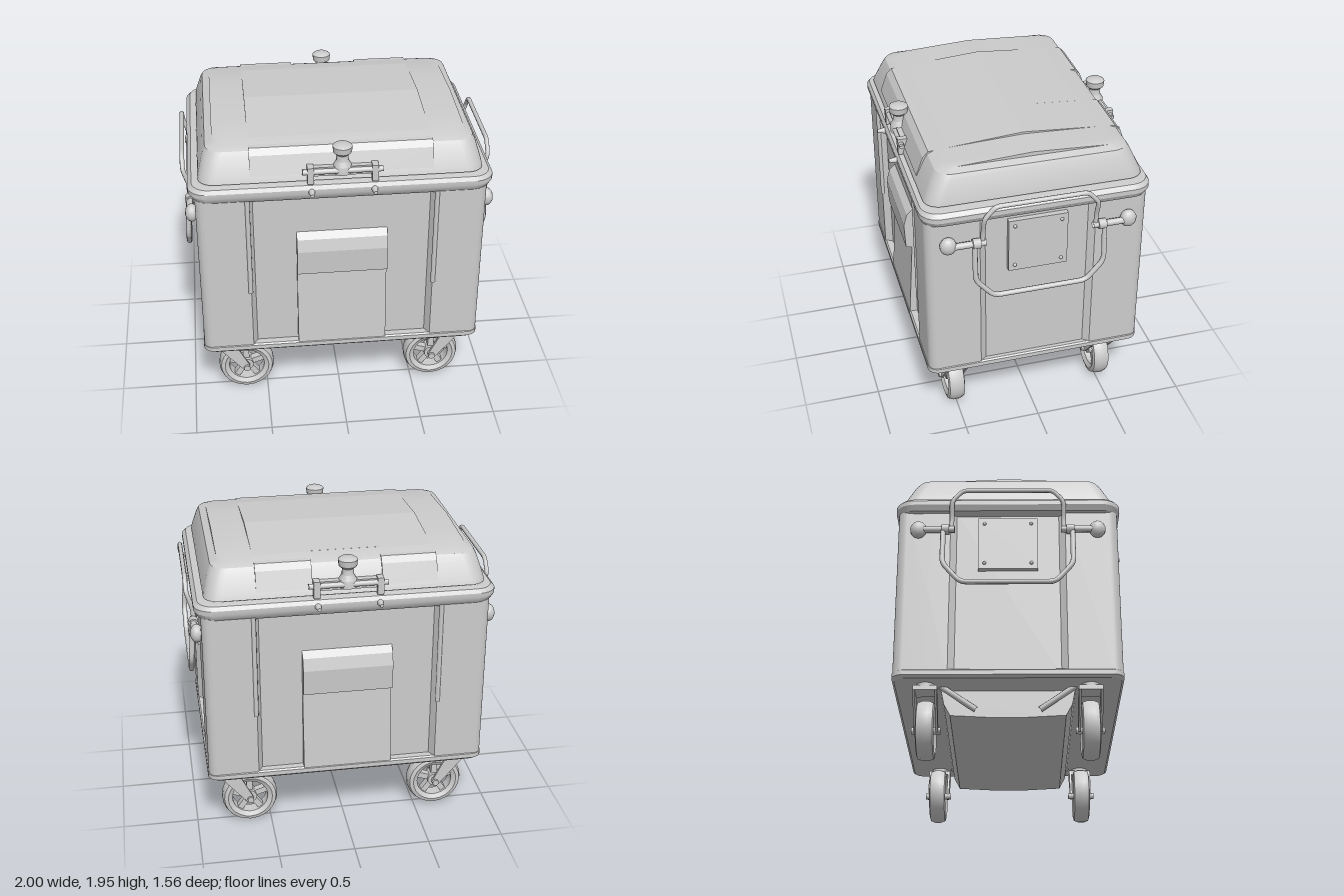
import * as THREE from 'three';
import { toCreasedNormals, mergeVertices } from 'three/addons/utils/BufferGeometryUtils.js';

const grey = new THREE.MeshStandardMaterial({ color: 0xcccccc, side: THREE.DoubleSide });
const V = (x, y, z) => new THREE.Vector3(x, y, z);

function add(parent, name, geometry, x = 0, y = 0, z = 0) {
  const mesh = new THREE.Mesh(geometry, grey);
  mesh.name = name;
  mesh.position.set(x, y, z);
  parent.add(mesh);
  return mesh;
}

// Skin over stacked rounded rectangles [halfX, halfZ, cornerRadius, y], closed at both ends
function loft(loops) {
  const pos = [], index = [], seg = 6, n = 4 * (seg + 1);
  for (const [hx, hz, r, y] of loops) {
    for (let c = 0; c < 4; c++) {
      const sx = c === 0 || c === 3 ? 1 : -1, sz = c < 2 ? 1 : -1;
      for (let k = 0; k <= seg; k++) {
        const a = (c + k / seg) * Math.PI / 2;
        const rz = Math.min(r, hz);
        pos.push(sx * (hx - r) + r * Math.cos(a), y, sz * (hz - rz) + rz * Math.sin(a));
      }
    }
  }
  for (let l = 0; l < loops.length - 1; l++) {
    for (let i = 0; i < n; i++) {
      const a = l * n + i, b = l * n + (i + 1) % n;
      index.push(a, a + n, b, b, a + n, b + n);
    }
  }
  const bottom = pos.length / 3, top = bottom + 1, last = (loops.length - 1) * n;
  pos.push(0, loops[0][3], 0, 0, loops[loops.length - 1][3], 0);
  for (let i = 0; i < n; i++) {
    const j = (i + 1) % n;
    index.push(bottom, i, j, top, last + j, last + i);
  }
  const g = new THREE.BufferGeometry();
  g.setAttribute('position', new THREE.Float32BufferAttribute(pos, 3));
  g.setIndex(index);
  return toCreasedNormals(g, 0.5);
}

// Prism along x from a [z, y] outline
function prismX(outline, x0, x1) {
  const shape = new THREE.Shape(outline.map(([z, y]) => new THREE.Vector2(-z, y)));
  const g = new THREE.ExtrudeGeometry(shape, { depth: x1 - x0, bevelEnabled: false });
  return g.rotateY(Math.PI / 2).translate(x0, 0, 0);
}

// Round bar through points, with its bends rounded off
function rod(points, radius, bend = 0.04) {
  const path = new THREE.CurvePath();
  let from = points[0];
  for (let i = 1; i < points.length; i++) {
    const p = points[i], next = points[i + 1];
    if (!next) { path.add(new THREE.LineCurve3(from, p)); break; }
    const a = p.clone().add(from.clone().sub(p).setLength(bend));
    const b = p.clone().add(next.clone().sub(p).setLength(bend));
    path.add(new THREE.LineCurve3(from, a));
    path.add(new THREE.QuadraticBezierCurve3(a, p, b));
    from = b;
  }
  return new THREE.TubeGeometry(path, points.length > 2 ? 70 : 1, radius, 8);
}

function makeBody() {
  const body = new THREE.Group();
  body.name = 'body';
  // Plan with rounded corners and a shallow recess in each wall
  const X = 0.915, Z = 0.71, r = 0.06, s = new THREE.Shape();
  s.moveTo(-X + r, -Z);
  for (const [x, z] of [[-0.59, -Z], [-0.56, -Z + 0.05], [0.56, -Z + 0.05], [0.59, -Z], [X - r, -Z]]) s.lineTo(x, z);
  s.absarc(X - r, -Z + r, r, -Math.PI / 2, 0);
  for (const [x, z] of [[X, -0.37], [X - 0.03, -0.33], [X - 0.03, 0.33], [X, 0.37], [X, Z - r]]) s.lineTo(x, z);
  s.absarc(X - r, Z - r, r, 0, Math.PI / 2);
  for (const [x, z] of [[0.59, Z], [0.56, Z - 0.05], [-0.56, Z - 0.05], [-0.59, Z], [-X + r, Z]]) s.lineTo(x, z);
  s.absarc(-X + r, Z - r, r, Math.PI / 2, Math.PI);
  for (const [x, z] of [[-X, 0.37], [-X + 0.03, 0.33], [-X + 0.03, -0.33], [-X, -0.37], [-X, -Z + r]]) s.lineTo(x, z);
  s.absarc(-X + r, -Z + r, r, Math.PI, Math.PI * 1.5);
  const walls = new THREE.ExtrudeGeometry(s, { depth: 1.15, bevelEnabled: false, curveSegments: 6 });
  walls.deleteAttribute('uv');
  add(body, 'walls', toCreasedNormals(walls.rotateX(-Math.PI / 2), 0.4), 0, 0.455, 0);
  add(body, 'baseBand', loft([[0.9, 0.7, 0.07, 0.43], [0.92, 0.715, 0.07, 0.445], [0.92, 0.715, 0.07, 0.475], [0.91, 0.705, 0.07, 0.485]]));
  add(body, 'rim', loft([[0.9, 0.7, 0.09, 1.585], [0.935, 0.715, 0.11, 1.6], [0.955, 0.73, 0.12, 1.635],
    [0.955, 0.73, 0.12, 1.665], [0.93, 0.715, 0.11, 1.69], [0.89, 0.69, 0.1, 1.695]]));
  // Belly under the floor
  add(body, 'belly', prismX([[-0.42, 0.44], [-0.4, 0.34], [-0.36, 0.265], [-0.08, 0.25], [0.08, 0.25], [0.36, 0.265], [0.4, 0.34], [0.42, 0.44]], -0.7, 0.7));
  for (const x of [-0.75, 0.75]) for (const z of [-1, 1]) {
    add(body, 'bellyStrut', rod([V(x, 0.44, z * 0.42), V(x * 0.95, 0.3, z * 0.2)], 0.02));
  }
  // Wall details, the same front and back
  for (const turn of [0, Math.PI]) {
    const face = new THREE.Group();
    face.name = turn ? 'backFace' : 'frontFace';
    face.rotation.y = turn;
    body.add(face);
    add(face, 'pocket', prismX([[0.65, 1.33], [0.7, 1.28], [0.722, 1.2], [0.715, 1.03], [0.65, 1.01]], -0.29, 0.29));
    add(face, 'lowerPanel', prismX([[0.64, 1.03], [0.675, 1.03], [0.713, 0.45], [0.64, 0.45]], -0.29, 0.29));
    for (const x of [-0.595, 0.595]) {
      add(face, 'cornerRib', new THREE.CylinderGeometry(0.016, 0.016, 0.7, 8), x, 1.25, 0.704);
    }
    for (const x of [-0.195, 0.195]) {
      add(face, 'rimBolt', new THREE.CylinderGeometry(0.012, 0.028, 0.09, 10).rotateX(Math.PI / 2), x, 1.65, 0.735);
    }
  }
  return body;
}

function makeLid() {
  const lid = new THREE.Group();
  lid.name = 'lid';
  add(lid, 'lidShell', loft([[0.86, 0.66, 0.1, 1.695], [0.89, 0.69, 0.1, 1.71], [0.885, 0.68, 0.1, 1.74], [0.85, 0.625, 0.1, 1.86],
    [0.835, 0.605, 0.1, 1.892], [0.79, 0.56, 0.08, 1.912], [0.79, 0.28, 0.05, 1.926], [0.79, 0.001, 0.001, 1.938]]));
  // Raised middle band with a notch at the back
  const full = [[0.68, 1.75], [0.635, 1.87], [0.6, 1.907], [0, 1.952], [-0.6, 1.907], [-0.635, 1.87], [-0.68, 1.75]];
  const notched = [...full.slice(0, 4), [-0.47, 1.917], [-0.48, 1.89], [-0.48, 1.75]];
  add(lid, 'lidBand', prismX(full, -0.57, -0.22));
  add(lid, 'lidBand', prismX(full, 0.22, 0.57));
  add(lid, 'notchedBand', prismX(notched, -0.22, 0.22));
  // Latch with a knob, front and back
  const knobProfile = [[0, 1.75], [0.06, 1.75], [0.058, 1.8], [0.038, 1.83], [0.036, 1.87], [0.058, 1.89], [0.062, 1.93], [0.045, 1.942], [0, 1.945]];
  for (const turn of [0, Math.PI]) {
    const latch = new THREE.Group();
    latch.name = 'latch';
    latch.rotation.y = turn;
    lid.add(latch);
    const knob = new THREE.LatheGeometry(knobProfile.map(p => new THREE.Vector2(...p)), 14);
    add(latch, 'knob', toCreasedNormals(knob, 0.6), 0, 0, 0.665);
    add(latch, 'latchPlate', new THREE.BoxGeometry(0.4, 0.06, 0.06), 0, 1.77, 0.665);
    add(latch, 'latchBar', rod([V(-0.25, 1.775, 0.7), V(0.25, 1.775, 0.7)], 0.018));
    for (const x of [-0.2, 0.2]) add(latch, 'latchPost', new THREE.BoxGeometry(0.04, 0.11, 0.06), x, 1.755, 0.69);
  }
  return lid;
}

// Two hinged bails, pivots and plate on the +x wall
function makeSide() {
  const side = new THREE.Group();
  add(side, 'plate', new THREE.BoxGeometry(0.04, 0.37, 0.38), 0.9, 1.365, 0);
  for (const z of [-0.15, 0.15]) for (const y of [1.22, 1.51]) {
    add(side, 'plateRivet', new THREE.SphereGeometry(0.012, 8, 6), 0.92, y, z);
  }
  add(side, 'upperBail', rod([V(0.945, 1.45, 0.36), V(0.95, 1.53, 0.36), V(0.985, 1.64, 0.36), V(0.985, 1.72, 0.29),
    V(0.985, 1.72, -0.29), V(0.985, 1.64, -0.36), V(0.95, 1.53, -0.36), V(0.945, 1.45, -0.36)], 0.015, 0.03));
  add(side, 'lowerBail', rod([V(0.955, 1.47, 0.415), V(0.975, 1.19, 0.415), V(0.975, 1.055, 0.3),
    V(0.975, 1.055, -0.3), V(0.975, 1.19, -0.415), V(0.955, 1.47, -0.415)], 0.017));
  for (const z of [-1, 1]) {
    add(side, 'pivotArm', rod([V(0.95, 1.45, z * 0.58), V(0.95, 1.45, z * 0.34)], 0.022));
    add(side, 'pivotCollar', new THREE.CylinderGeometry(0.032, 0.032, 0.05, 10).rotateX(Math.PI / 2), 0.95, 1.45, z * 0.4);
    add(side, 'pivotKnob', new THREE.SphereGeometry(0.056, 14, 10).scale(0.75, 1.05, 0.95), 0.94, 1.455, z * 0.575);
  }
  return side;
}

// Caster in the +x +z corner, its fork leaning in from the corner
function makeCaster() {
  const caster = new THREE.Group();
  const wheel = new THREE.Group();
  wheel.name = 'wheel';
  wheel.position.set(0.64, 0.187, 0.51);
  caster.add(wheel);
  const tyre = [[0.12, -0.04], [0.15, -0.057], [0.175, -0.05], [0.187, -0.02], [0.187, 0.02], [0.175, 0.05], [0.15, 0.057], [0.12, 0.04], [0.12, -0.04]];
  const tyreGeo = new THREE.LatheGeometry(tyre.map(p => new THREE.Vector2(...p)), 24).rotateX(Math.PI / 2);
  add(wheel, 'tyre', toCreasedNormals(tyreGeo, 0.7));
  add(wheel, 'hub', new THREE.CylinderGeometry(0.045, 0.045, 0.09, 14).rotateX(Math.PI / 2));
  add(wheel, 'axle', new THREE.CylinderGeometry(0.022, 0.022, 0.18, 10).rotateX(Math.PI / 2));
  for (let i = 0; i < 5; i++) {
    const a = i * Math.PI * 2 / 5 + 0.3;
    add(wheel, 'spoke', new THREE.BoxGeometry(0.1, 0.04, 0.05), 0.085 * Math.cos(a), 0.085 * Math.sin(a), 0).rotation.z = a;
  }
  const arm = new THREE.Shape([[0.72, 0.4], [0.62, 0.2], [0.63, 0.165], [0.665, 0.17], [0.84, 0.38], [0.84, 0.41]].map(p => new THREE.Vector2(...p)));
  arm.closePath();
  for (const z of [0.435, 0.57]) {
    add(caster, 'forkArm', new THREE.ExtrudeGeometry(arm, { depth: 0.015, bevelEnabled: false }), 0, 0, z);
  }
  add(caster, 'forkCrown', new THREE.BoxGeometry(0.12, 0.03, 0.15), 0.78, 0.395, 0.51);
  add(caster, 'swivel', new THREE.CylinderGeometry(0.06, 0.06, 0.04, 14), 0.78, 0.42, 0.51);
  return caster;
}

export function createModel() {
  const model = new THREE.Group();
  model.name = 'wheeledWasteContainer';
  model.add(makeBody(), makeLid());
  for (const sx of [1, -1]) {
    const side = makeSide();
    side.name = sx > 0 ? 'leftHandle' : 'rightHandle';
    side.scale.x = sx;
    model.add(side);
    for (const sz of [1, -1]) {
      const caster = makeCaster();
      caster.name = (sz > 0 ? 'front' : 'back') + (sx > 0 ? 'Left' : 'Right') + 'Caster';
      caster.scale.set(sx, 1, sz);
      model.add(caster);
    }
  }
  return model;
}
